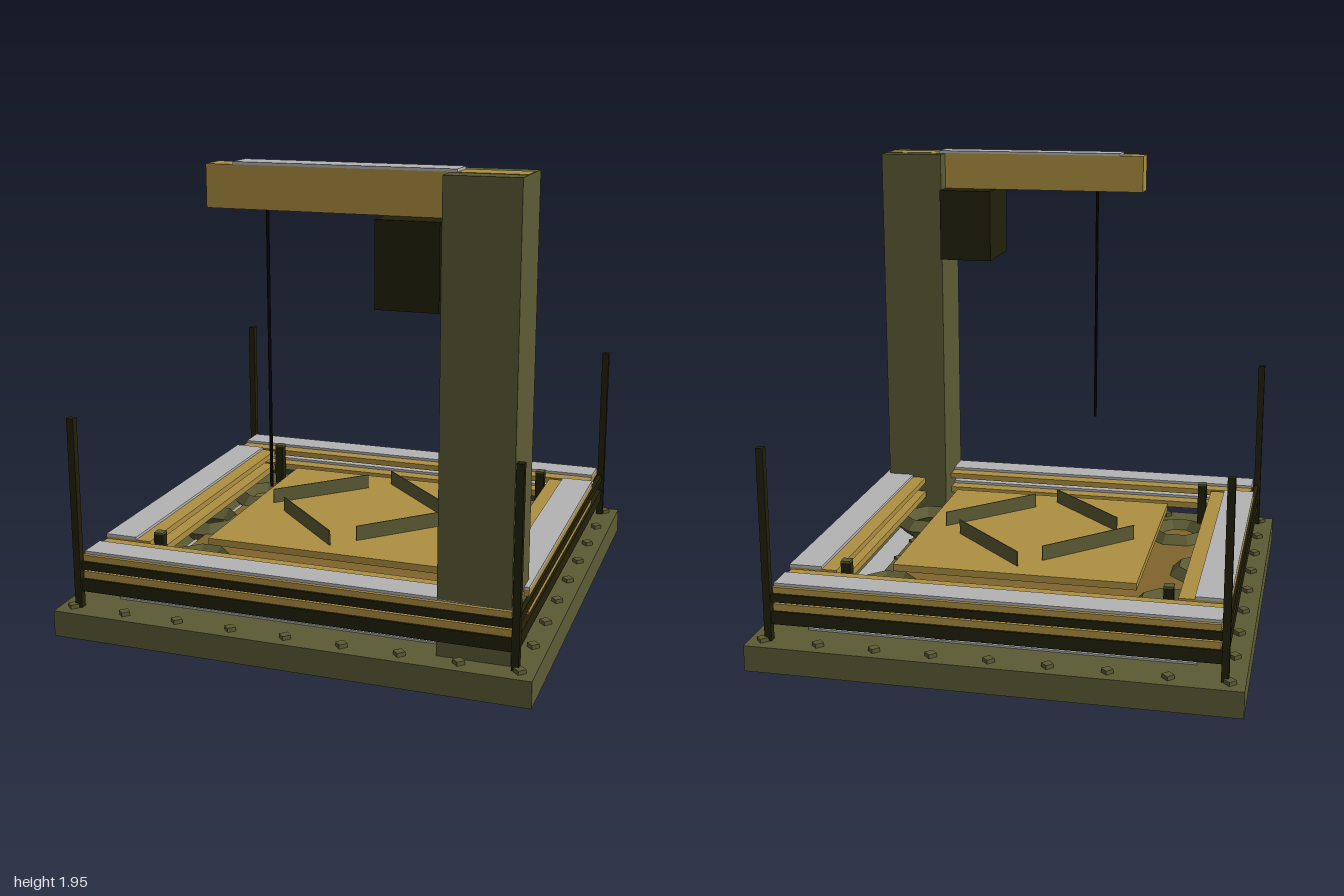
import * as THREE from 'three';

const mat = (name, color) => {
  const m = new THREE.MeshStandardMaterial({ color, flatShading: true });
  m.name = name;
  return m;
};

export function createModel() {
  const olive = mat('olive', 0x5c5b35);
  const gold = mat('gold', 0xae8f42);
  const brown = mat('brown', 0x80642c);
  const dark = mat('dark', 0x222009);
  const gray = mat('gray', 0xb3b3b3);
  const shadowOlive = mat('undersideOlive', 0x484730);
  const black = mat('black', 0x0c0c08);
  const model = new THREE.Group();

  const add = (name, geometry, material, x = 0, y = 0, z = 0) => {
    const mesh = new THREE.Mesh(geometry, material);
    mesh.name = name;
    mesh.position.set(x, y, z);
    model.add(mesh);
    return mesh;
  };
  // Box given by its extents on each axis
  const box = (name, material, x0, x1, y0, y1, z0, z1) =>
    add(name, new THREE.BoxGeometry(x1 - x0, y1 - y0, z1 - z0), material,
      (x0 + x1) / 2, (y0 + y1) / 2, (z0 + z1) / 2);
  // Mirrored interval on either side of the centre
  const span = (s, a, b) => (s > 0 ? [a, b] : [-b, -a]);

  // Base slab with a deep recess underneath
  box('baseSlab', olive, -1, 1, 0.09, 0.11, -1, 1);
  for (const s of [-1, 1]) {
    box('baseRimX', olive, ...span(s, 0.93, 1), 0, 0.09, -1, 1);
    box('baseRimZ', olive, -0.93, 0.93, 0, 0.09, ...span(s, 0.93, 1));
  }
  box('undersidePanel', shadowOlive, -0.93, 0.93, 0.082, 0.09, -0.93, 0.93);
  box('groundPlate', gray, -0.8, 0.8, 0.11, 0.118, -0.8, 0.8);

  // Studs around the border and on the inner square
  const stud = new THREE.CylinderGeometry(0.025, 0.025, 0.018, 4);
  for (let i = 0; i < 8; i++) {
    const t = -0.94 + i * 0.235;
    for (const [x, z] of [[t, -0.94], [0.94, t], [-t, 0.94], [-0.94, -t]]) add('borderStud', stud, olive, x, 0.118, z);
  }
  for (let i = 1; i < 6; i++) {
    const t = -0.67 + i * 0.233;
    for (const [x, z] of [[t, -0.68], [0.67, t], [t, 0.68], [-0.67, t]]) add('innerStud', stud, olive, x, 0.125, z);
  }

  // Floor plates and raised thin platform
  box('floorPlate', brown, -0.71, 0.57, 0.15, 0.18, -0.66, 0.68);
  box('floorStrip', olive, 0.57, 0.69, 0.118, 0.124, -0.6, 0.68);
  box('sidePlate', gray, -0.59, -0.5, 0.18, 0.19, -0.5, -0.36);
  box('platform', gold, -0.52, 0.52, 0.285, 0.315, -0.52, 0.52);

  // Thin pinwheel walls on the platform
  const wall = new THREE.BoxGeometry(0.485, 0.065, 0.005);
  for (let i = 0; i < 4; i++) {
    const a = i * Math.PI / 2, x = -0.26, z = -0.17;
    add('platformWall', wall, olive,
      x * Math.cos(a) + z * Math.sin(a), 0.3475, -x * Math.sin(a) + z * Math.cos(a))
      .rotation.y = Math.PI / 4 + a;
  }

  // Eight-sided rings with sloped faces, tucked around the platform
  const ring = new THREE.TorusGeometry(0.118, 0.045, 4, 8);
  ring.rotateX(Math.PI / 2).rotateY(Math.PI / 8);
  for (const [x, z] of [[-0.29, -0.69], [0.21, -0.71], [0.56, -0.47], [-0.64, -0.42], [-0.75, 0],
    [-0.58, 0.47], [-0.22, 0.71], [0.25, 0.67], [0.63, 0.41]]) add('ring', ring, olive, x, 0.175, z);

  // Tall corner posts and short capped inner posts
  for (const sx of [-1, 1]) for (const sz of [-1, 1]) {
    box('cornerPost', dark, ...span(sx, 0.905, 0.935), 0.11, 0.92, ...span(sz, 0.905, 0.935));
    box('innerPost', dark, ...span(sx, 0.65, 0.69), 0.11, 0.372, ...span(sz, 0.65, 0.69));
    box('innerPostCap', olive, ...span(sx, 0.65, 0.69), 0.372, 0.38, ...span(sz, 0.65, 0.69));
  }

  // Two tiers of rails and benches on each side
  for (const [rail0, rail1, plankTop] of [[0.18, 0.235, 0.265], [0.275, 0.31, 0.336]]) {
    const padTop = plankTop + 0.012;
    for (const s of [-1, 1]) {
      box('railZ', dark, -0.905, 0.905, rail0, rail1, ...span(s, 0.905, 0.925));
      box('railX', dark, ...span(s, 0.905, 0.925), rail0, rail1, -0.905, 0.905);
      box('benchPlankZ', gold, -0.9, 0.9, rail1, plankTop, ...span(s, 0.71, 0.915));
      box('benchPadZ', gray, -0.9, 0.9, plankTop, padTop, ...span(s, 0.775, 0.9));
      box('benchPlankX', gold, ...span(s, 0.71, 0.915), rail1, plankTop, -0.69, 0.69);
      box('benchPadX', gray, ...span(s, 0.775, 0.915), plankTop, padTop, -0.69, 0.69);
    }
  }

  // Crane: column, arm, counterweight and cable
  box('craneColumn', olive, 0.605, 0.895, 0.11, 1.94, 0.61, 0.9);
  box('craneArm', gold, -0.35, 0.893, 1.775, 1.942, 0.69, 0.81);
  box('armCap', gray, -0.24, 0.635, 1.942, 1.953, 0.69, 0.81);
  box('counterweight', dark, 0.36, 0.605, 1.445, 1.775, 0.585, 0.92);
  add('cable', new THREE.CylinderGeometry(0.007, 0.007, 1.11, 8), black, -0.125, 1.22, 0.75);

  return model;
}
